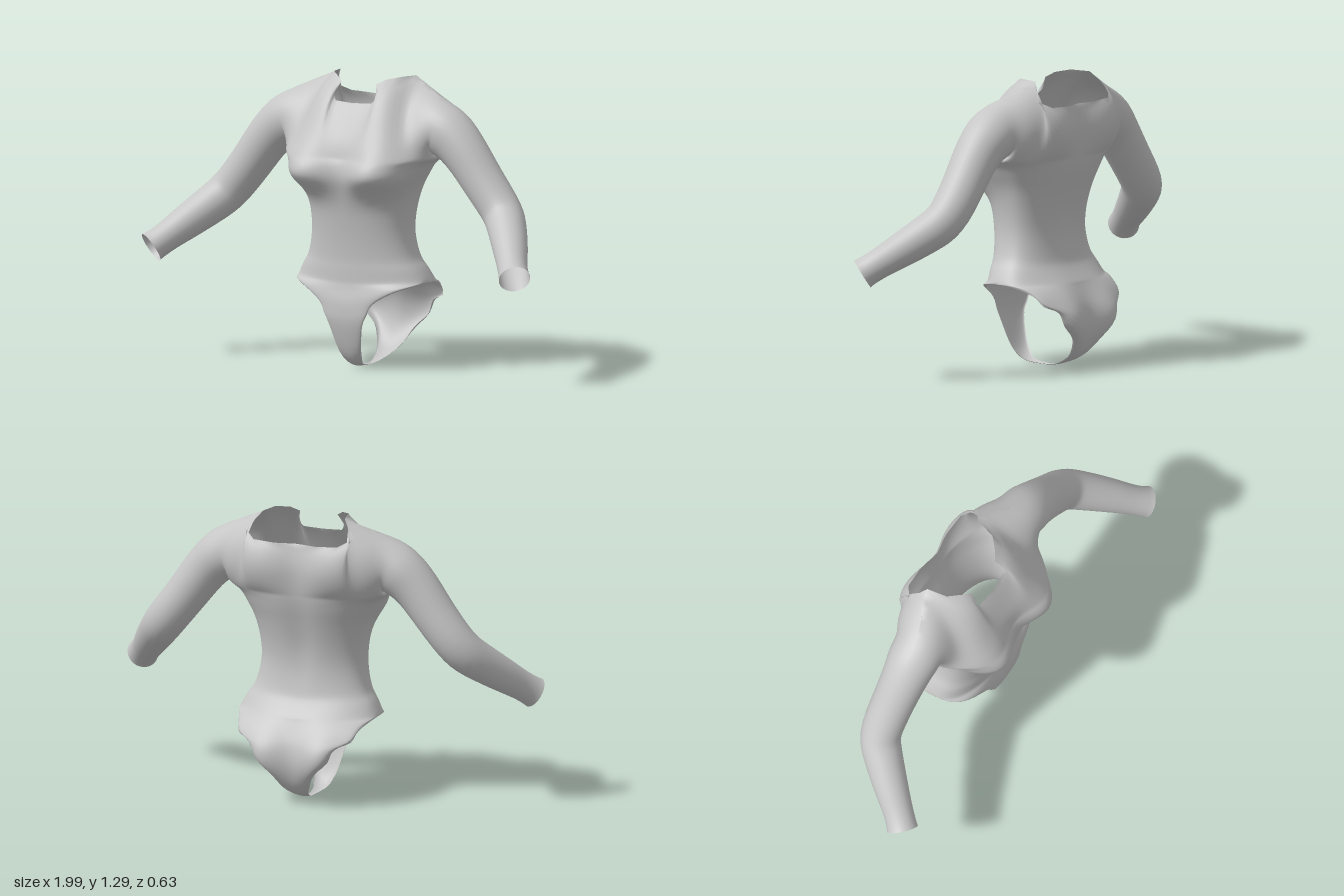
import * as THREE from 'three';
import { mergeVertices } from 'three/addons/utils/BufferGeometryUtils.js';

const V = (x, y, z) => new THREE.Vector3(x, y, z);
const N = 20;          // columns from the centre line to the side
const SEAM = 12;       // column where the neckline meets the shoulder seam
const K = 14;          // rows from armpit to shoulder
const lerp = THREE.MathUtils.lerp;

// Smoothly resample a table of rows, n steps between neighbours
function smooth(table, n) {
  const out = [];
  for (let i = 0; i < table.length - 1; i++) {
    const [a, b, c, d] = [-1, 0, 1, 2].map(k => table[Math.min(Math.max(i + k, 0), table.length - 1)]);
    for (let s = 0; s < n; s++) {
      const t = s / n;
      out.push(b.map((_, k) => b[k] + 0.5 * t * (c[k] - a[k] + t * (2 * a[k] - 5 * b[k] + 4 * c[k] - d[k]
        + t * (3 * (b[k] - c[k]) + d[k] - a[k])))));
    }
  }
  out.push(table[table.length - 1]);
  return out;
}

// Point on a polyline, t from 0 to 1
function along(points, t) {
  const f = t * (points.length - 1), i = Math.min(Math.floor(f), points.length - 2);
  return V(...points[i]).lerp(V(...points[i + 1]), f - i);
}

// Waist to armpit: y, half width, side z, front z, back z
const torso = [
  [0.393, 0.325, -0.035, 0.145, -0.222], [0.45, 0.297, -0.03, 0.145, -0.183],
  [0.50, 0.265, -0.02, 0.145, -0.165], [0.60, 0.242, -0.01, 0.155, -0.155],
  [0.70, 0.245, -0.01, 0.172, -0.167], [0.80, 0.266, -0.02, 0.195, -0.193],
  [0.87, 0.298, -0.03, 0.205, -0.215], [0.92, 0.328, -0.038, 0.2, -0.228], [0.95, 0.37, -0.045, 0.188, -0.234],
];
// Crotch to hip: half width, edge y, edge z, centre y, centre z
const frontPelvis = [
  [0.012, 0.004, -0.06, 0.001, -0.06], [0.022, 0.008, 0.01, 0.003, 0.01], [0.035, 0.02, 0.06, 0.01, 0.065],
  [0.048, 0.05, 0.09, 0.04, 0.105], [0.062, 0.10, 0.12, 0.10, 0.135], [0.085, 0.20, 0.15, 0.20, 0.162],
  [0.11, 0.25, 0.153, 0.25, 0.165], [0.135, 0.30, 0.146, 0.30, 0.163], [0.22, 0.35, 0.122, 0.345, 0.153],
  [0.295, 0.38, 0.06, 0.375, 0.147], [0.325, 0.393, -0.035, 0.393, 0.145],
];
const backPelvis = [
  [0.012, 0.004, -0.06, 0.001, -0.06], [0.02, 0.012, -0.11, 0.01, -0.115], [0.045, 0.045, -0.185, 0.035, -0.19],
  [0.07, 0.085, -0.232, 0.07, -0.24], [0.105, 0.15, -0.266, 0.13, -0.272], [0.17, 0.21, -0.274, 0.20, -0.285],
  [0.2, 0.275, -0.264, 0.265, -0.278], [0.268, 0.305, -0.235, 0.31, -0.262], [0.285, 0.35, -0.19, 0.35, -0.243],
  [0.315, 0.383, -0.1, 0.378, -0.229], [0.325, 0.393, -0.035, 0.393, -0.222],
];
const frontNeck = [[0, 1.18, 0.085], [0.1, 1.185, 0.078], [0.11, 1.22, 0.06], [0.09, 1.265, 0.035],
  [0.125, 1.285, 0.01], [0.175, 1.295, -0.04], [0.195, 1.293, -0.13]];
const backNeck = [[0, 1.18, -0.23], [0.1, 1.18, -0.235], [0.2, 1.185, -0.23], [0.262, 1.22, -0.178], [0.195, 1.293, -0.13]];
const frontCentre = [[0, 0.95, 0.188], [0, 1.02, 0.17], [0, 1.1, 0.13], [0, 1.18, 0.085]];
const backCentre = [[0, 0.95, -0.234], [0, 1.03, -0.243], [0, 1.1, -0.243], [0, 1.18, -0.23]];

// Loop where bodice and sleeve join; a = -90 degrees at the armpit
const armhole = a => V(0.385 + 0.015 * Math.sin(a), 1.075 + 0.125 * Math.sin(a), -0.045 + 0.113 * Math.cos(a));

// Half of the front (side = 1) or back (side = -1), from crotch to shoulder
function panel(side) {
  const body = smooth(torso, 4).map(([y, w, zs, f, b]) => [w, y, zs, y, side > 0 ? f : b]);
  const spec = [...smooth(side > 0 ? frontPelvis : backPelvis, 3), ...body.slice(1)];
  const rows = spec.map(([h, ye, ze, yc, zc]) => Array.from({ length: N + 1 }, (_, j) => {
    const p = j / N * Math.PI / 2, s = Math.sin(p);
    return V(h * s, lerp(yc, ye, s * s), ze + (zc - ze) * (j === N ? 0 : Math.cos(p) ** 0.8));
  }));

  // Chest or upper back: a patch blended between its four borders
  const neck = side > 0 ? frontNeck : backNeck;
  const centre = smooth(side > 0 ? frontCentre : backCentre, 6);
  const tip = armhole(Math.PI / 2), seam = V(...frontNeck.at(-1));
  const bottom = rows.at(-1);
  const top = bottom.map((_, j) => j <= SEAM ? along(neck, j / SEAM) : seam.clone().lerp(tip, (j - SEAM) / (N - SEAM)));
  for (let i = 1; i <= K; i++) {
    const v = i / K, a = -Math.PI / 2 + side * v * Math.PI;
    const c0 = along(centre, v), c1 = armhole(a);
    rows.push(bottom.map((b, j) => {
      const u = j / N;
      const corners = bottom[0].clone().lerp(bottom[N], u).lerp(top[0].clone().lerp(top[N], u), v);
      return b.clone().lerp(top[j], v).add(c0.clone().lerp(c1, u)).sub(corners);
    }));
  }

  // Bust, seat and spine shaping
  rows.forEach(row => row.forEach((p, j) => {
    const keep = 1 - (j / N) ** 6;
    if (side > 0) {
      const dx = p.x - 0.18, dy = p.y - 0.87;
      const g = keep * Math.exp(-((dx / (dx < 0 ? 0.12 : 0.16)) ** 2) - (dy / (dy < 0 ? 0.075 : 0.14)) ** 2);
      p.z += 0.1 * g;
      p.x += 0.03 * g * (j / N);
    } else {
      p.z -= 0.036 * keep * Math.exp(-(((p.x - 0.135) / 0.09) ** 2) - ((p.y - 0.22) / 0.13) ** 2);
      if (p.y > 0.5) p.z += 0.014 * Math.exp(-((p.x / 0.06) ** 2)) * Math.min(1, (p.y - 0.5) * 5);
    }
  }));
  return rows;
}

// Sleeve: x, y, z of the centre and radius, shoulder to wrist
function sleeve() {
  const path = smooth([[0.385, 1.075, -0.045, 0.12], [0.44, 1.043, -0.042, 0.112], [0.51, 0.975, -0.038, 0.102],
    [0.6, 0.858, -0.037, 0.095], [0.7, 0.735, -0.025, 0.091], [0.765, 0.665, 0.035, 0.086], [0.84, 0.588, 0.13, 0.076],
    [0.9, 0.525, 0.212, 0.066], [0.938, 0.488, 0.258, 0.07]], 4);
  const at = i => V(...path[Math.min(Math.max(i, 0), path.length - 1)]);
  const rows = [];
  for (let k = 0; k <= 2 * K; k++) {
    const a = -Math.PI / 2 + k / K * Math.PI;
    rows.push(path.map((s, i) => {
      if (i === 0) return armhole(a);
      const axis = at(i + 1).sub(at(i - 1)).normalize();
      const front = V(0, 0, 1).addScaledVector(axis, -axis.z).normalize();
      const up = front.clone().cross(axis);
      return at(i).addScaledVector(up, s[3] * Math.sin(a)).addScaledVector(front, s[3] * Math.cos(a));
    }));
  }
  return rows;
}

// Even out the seams without shrinking; open hems stay in place
function relax(geometry, passes) {
  const pos = geometry.attributes.position, idx = geometry.index.array;
  const near = Array.from({ length: pos.count }, () => new Map());
  for (let i = 0; i < idx.length; i += 3) for (let k = 0; k < 3; k++) {
    const a = idx[i + k], b = idx[i + (k + 1) % 3];
    near[a].set(b, (near[a].get(b) || 0) + 1);
    near[b].set(a, (near[b].get(a) || 0) + 1);
  }
  const free = near.map(m => [...m.values()].every(n => n > 1));
  for (let pass = 0; pass < passes; pass++) for (const amount of [0.5, -0.51]) {
    const old = near.map((_, i) => V().fromBufferAttribute(pos, i));
    old.forEach((p, i) => {
      if (!free[i] || !near[i].size) return;
      const mean = V(0, 0, 0);
      for (const n of near[i].keys()) mean.add(old[n]);
      mean.divideScalar(near[i].size).sub(p);
      pos.setXYZ(i, p.x + mean.x * amount, p.y + mean.y * amount, p.z + mean.z * amount);
    });
  }
}

export function createModel() {
  const fabric = new THREE.MeshStandardMaterial({ color: 0xc6c6c6, side: THREE.DoubleSide });
  fabric.name = 'grey fabric';
  const pos = [], index = [];

  // Add a grid of points and its mirror image
  const addGrid = (rows, flip) => [1, -1].forEach(m => {
    const start = pos.length / 3, cols = rows[0].length;
    rows.forEach(r => r.forEach(p => pos.push(p.x * m, p.y, p.z)));
    for (let i = 0; i < rows.length - 1; i++) for (let j = 0; j < cols - 1; j++) {
      const a = start + i * cols + j, b = a + 1, c = b + cols, d = a + cols;
      if (flip === (m < 0)) index.push(a, b, c, a, c, d);
      else index.push(a, c, b, a, d, c);
    }
  });
  addGrid(panel(1), false);
  addGrid(panel(-1), true);
  addGrid(sleeve(), false);

  // Weld the panels so the shading runs smoothly over the seams
  let geometry = new THREE.BufferGeometry();
  geometry.setAttribute('position', new THREE.Float32BufferAttribute(pos, 3));
  geometry.setIndex(index);
  geometry = mergeVertices(geometry, 1e-4);
  relax(geometry, 20);
  geometry.computeVertexNormals();

  const suit = new THREE.Mesh(geometry, fabric);
  suit.name = 'longSleevedBodysuit';
  const group = new THREE.Group();
  group.name = 'bodysuit';
  group.add(suit);
  return group;
}
